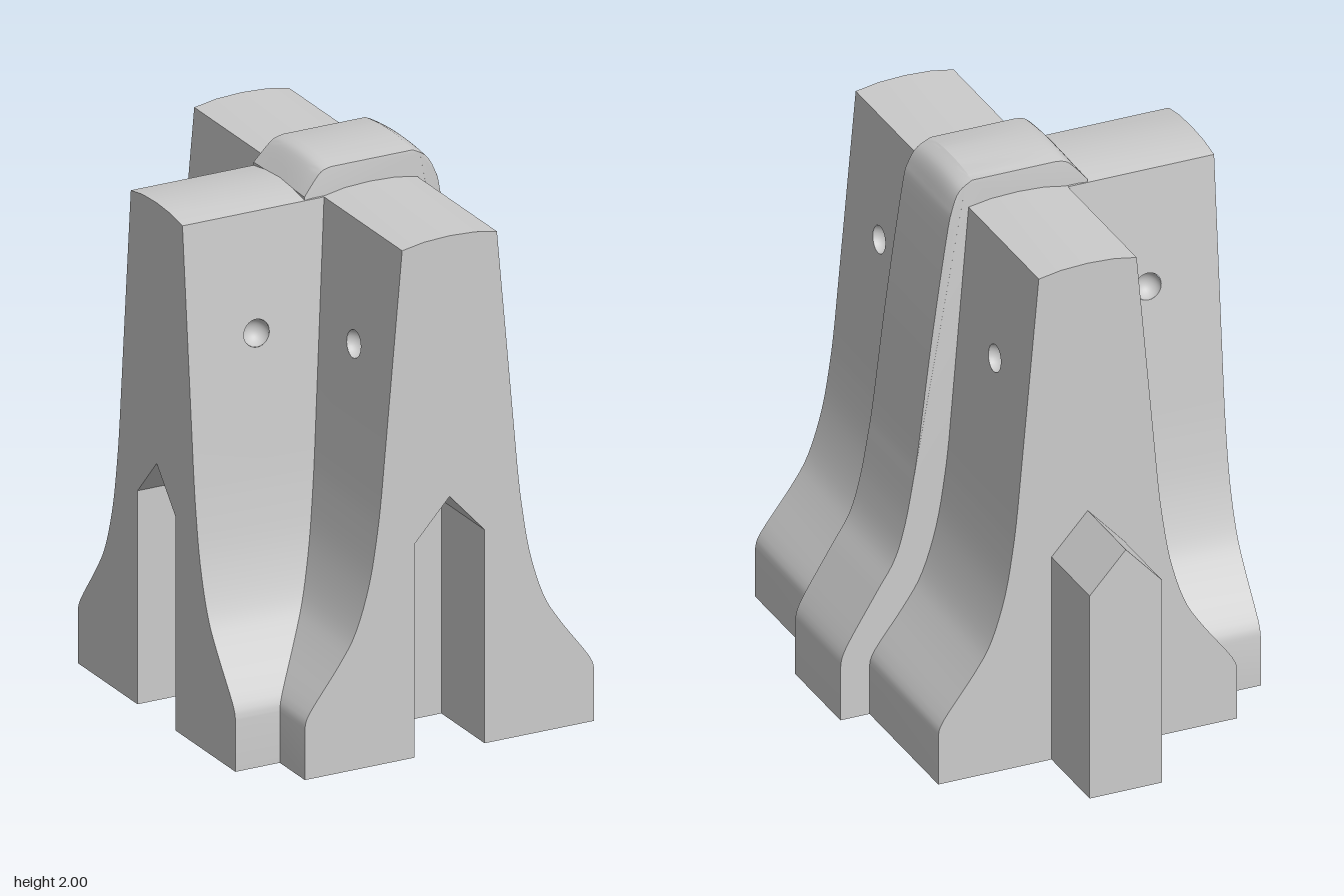
import * as THREE from 'three';
import { mergeGeometries, toCreasedNormals } from 'three/addons/utils/BufferGeometryUtils.js';

const CX = 0.03, CZ = 0.155;        // centre of the T junction
const START = 0.14, SLOT = 0.31;    // inner end of each wing, slot and key depth
const HOLE = { y: 1.45, d: 0.47, r: 0.05 };
const BAND = [1.3, 1.6];            // straight wall band holding the sockets
const WIDE = 0.565, TOP = 1.885;

const grey = new THREE.MeshStandardMaterial({ color: 0xcccccc });
const inner = new THREE.MeshStandardMaterial({ color: 0xcccccc, side: THREE.BackSide });
const v2 = (list) => list.map(([x, y]) => new THREE.Vector2(x, y));
const mirror = (pts) => pts.map((p) => new THREE.Vector2(-p.x, p.y)).reverse();

// half width of the straight upper wall
const halfWidth = (y) => 0.265 - (0.08 * (y - 1)) / (TOP - 1);
const wallPoint = (y) => new THREE.Vector2(halfWidth(y), y);

// flared foot of the barrier, from the ground up to the straight wall
const foot = [
  new THREE.Vector2(WIDE, 0),
  ...new THREE.SplineCurve(v2([[WIDE, 0.19], [0.545, 0.245], [0.43, 0.4], [0.365, 0.51],
    [0.312, 0.68], [0.28, 0.87], [0.265, 1.0]])).getPoints(24),
];
const lower = [...foot, wallPoint(BAND[0])];
const crown = [wallPoint(BAND[1]), wallPoint(TOP), ...v2([[0.1, 1.9], [0, 1.905], [-0.1, 1.9]]),
  ...mirror([wallPoint(BAND[1]), wallPoint(TOP)])];
const profile = [...lower, ...crown, ...mirror(lower)];

// gabled outline shared by key and slot
const gable = v2([[0.137, 0], [0.137, 0.79], [0, 0.94], [-0.137, 0.79], [-0.137, 0]]);

// open wall following a path, extruded from z0 to z1
function strip(path, z0, z1) {
  const pos = [];
  for (let i = 0; i < path.length - 1; i++) {
    const p = path[i], q = path[i + 1];
    pos.push(p.x, p.y, z0, q.x, q.y, z0, q.x, q.y, z1);
    pos.push(p.x, p.y, z0, q.x, q.y, z1, p.x, p.y, z1);
  }
  return new THREE.BufferGeometry().setAttribute('position', new THREE.Float32BufferAttribute(pos, 3));
}

function flat(points) {
  return new THREE.ShapeGeometry(new THREE.Shape(points));
}

// wall band with a round socket opening
function holedBand(side, length) {
  const a = side > 0 ? -length : START, b = side > 0 ? -START : length;
  const shape = new THREE.Shape(v2([[a, BAND[0]], [b, BAND[0]], [b, BAND[1]], [a, BAND[1]]]));
  const hole = new THREE.Path();
  hole.absarc(-side * HOLE.d, HOLE.y, HOLE.r, 0, Math.PI * 2, true);
  shape.holes.push(hole);
  const g = new THREE.ShapeGeometry(shape, 16);
  const p = g.attributes.position;
  for (let i = 0; i < p.count; i++) {
    const u = p.getX(i), y = p.getY(i);
    p.setXYZ(i, side * halfWidth(y), y, -side * u);
  }
  return g;
}

function weld(parts) {
  const plain = parts.map((g) => {
    const n = g.index ? g.toNonIndexed() : g;
    return new THREE.BufferGeometry().setAttribute('position', n.attributes.position);
  });
  const merged = mergeGeometries(plain);
  merged.computeVertexNormals();
  return toCreasedNormals(merged, 0.5);
}

function addMesh(group, name, geometry, material = grey) {
  const mesh = new THREE.Mesh(geometry, material);
  mesh.name = name;
  group.add(mesh);
  return mesh;
}

// one wing running along +z from the junction, ending in a slot or a key
function makeWing(name, length, slotted) {
  const wing = new THREE.Group();
  wing.name = name;
  const back = length - SLOT;
  const parts = [
    strip(lower, START, length), strip(crown, START, length), strip(mirror(lower), START, length),
    holedBand(1, length), holedBand(-1, length),
  ];
  // end face
  const end = slotted ? [...profile, ...gable.slice().reverse()] : profile;
  parts.push(flat(end).translate(0, 0, length));
  // underside
  const notch = slotted ? v2([[0.137, length], [0.137, back], [-0.137, back], [-0.137, length]]) : [];
  const base = [...v2([[-WIDE, START], [WIDE, START], [WIDE, length]]), ...notch,
    new THREE.Vector2(-WIDE, length)];
  parts.push(flat(base).rotateX(Math.PI / 2));
  // slot lining
  if (slotted) {
    parts.push(strip(gable.slice().reverse(), back, length));
    parts.push(flat(gable).translate(0, 0, back));
  }
  addMesh(wing, 'barrierWall', weld(parts));
  if (!slotted) {
    const key = new THREE.ExtrudeGeometry(new THREE.Shape(gable), { depth: SLOT, bevelEnabled: false });
    addMesh(wing, 'connectorKey', key.translate(0, 0, length));
  }
  // rounded sockets in both walls
  for (const side of [1, -1]) {
    const bowl = new THREE.SphereGeometry(HOLE.r, 24, 10, 0, Math.PI * 2, 0, Math.PI / 2);
    bowl.rotateZ(side * (Math.PI / 2 + 0.09));
    addMesh(wing, 'liftingSocket', bowl, inner)
      .position.set(side * halfWidth(HOLE.y), HOLE.y, HOLE.d);
  }
  return wing;
}

// raised rib wrapping over the junction
function makeCollar() {
  const outer = [
    new THREE.Vector2(0.705, 0),
    ...new THREE.SplineCurve(v2([[0.705, 0.2], [0.685, 0.275], [0.57, 0.465], [0.5, 0.58], [0.46, 0.71],
      [0.43, 0.87], [0.41, 1.0], [0.36, 1.4], [0.302, 1.8], [0.28, 1.9], [0.25, 1.965], [0.2, 2]])).getPoints(60),
    ...new THREE.SplineCurve(v2([[-0.12, 2], [-0.155, 1.99], [-0.185, 1.96], [-0.23, 1.9]])).getPoints(10),
    ...v2([[-0.23, 1.8], [-0.4, 0.5], [-0.4, 0]]),
  ];
  const half = 0.185;
  const g = new THREE.ExtrudeGeometry(new THREE.Shape(outer), { depth: 2 * half, steps: 10, bevelEnabled: false });
  g.translate(0, 0, -half);
  // crowned top with slightly drawn-in flanks
  const p = g.attributes.position;
  for (let i = 0; i < p.count; i++) {
    const y = p.getY(i), z = p.getZ(i);
    const t = Math.max(0, (y - 1.88) / 0.12);
    p.setY(i, y - 0.015 * t * (z / half) ** 2);
    p.setZ(i, z * (1 - 0.08 * t));
  }
  return weld([g]);
}

export function createModel() {
  const model = new THREE.Group();
  model.name = 'barrierJunction';
  const wings = [
    ['frontWing', 0.745, true, 0],
    ['backWing', 0.745, false, Math.PI],
    ['sideWing', 0.738, true, -Math.PI / 2],
  ];
  for (const [name, length, slotted, turn] of wings) {
    const wing = makeWing(name, length, slotted);
    wing.rotation.y = turn;
    wing.position.set(CX, 0, CZ);
    model.add(wing);
  }
  addMesh(model, 'junctionCollar', makeCollar()).position.z = CZ;
  return model;
}
